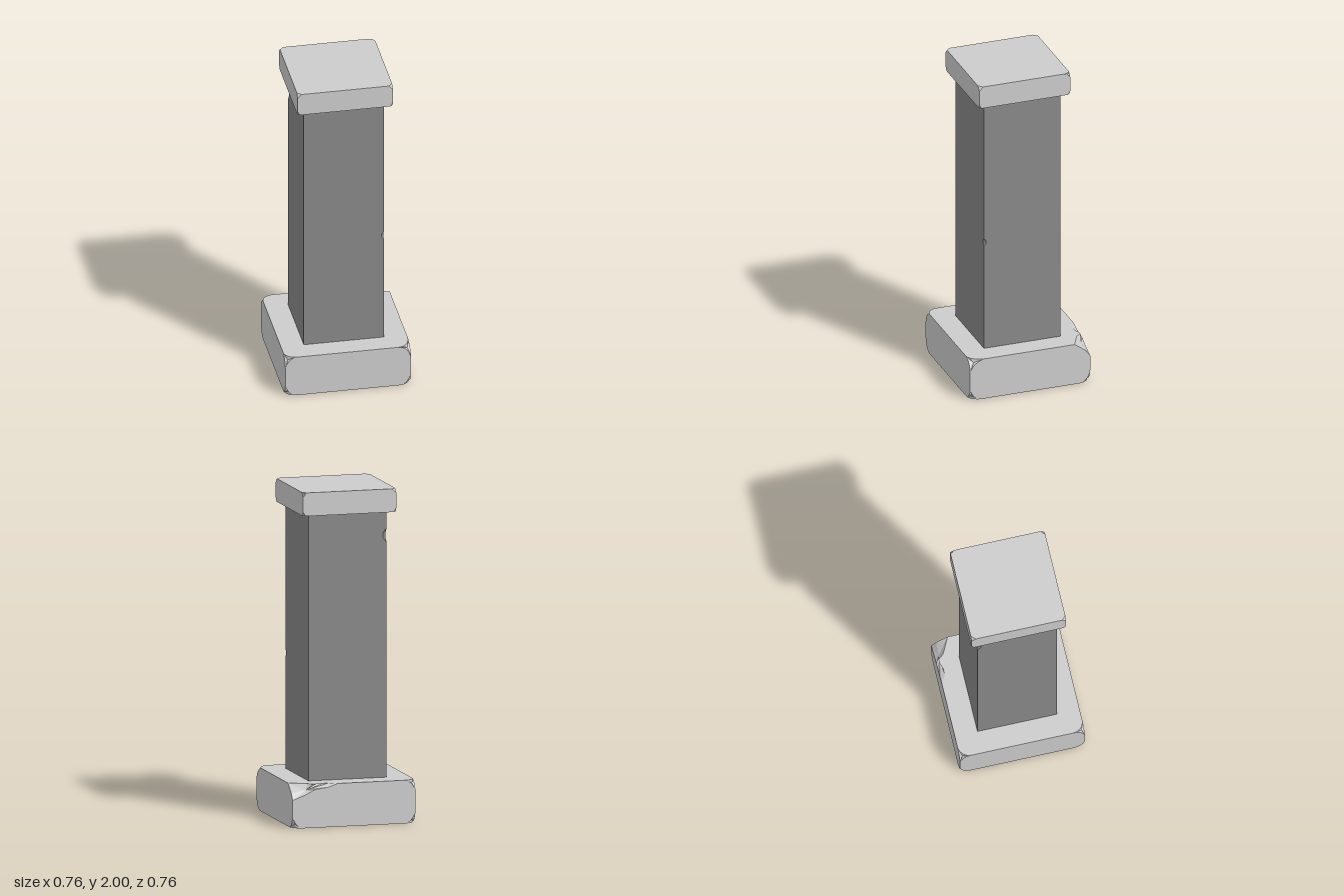
import * as THREE from 'three';

const stone = new THREE.MeshStandardMaterial({ color: 0xcccccc, flatShading: true });
const darkStone = new THREE.MeshStandardMaterial({ color: 0x888888, flatShading: true });

function meshFrom(name, positions, material) {
  const geometry = new THREE.BufferGeometry();
  geometry.setAttribute('position', new THREE.Float32BufferAttribute(positions, 3));
  geometry.computeVertexNormals();
  const mesh = new THREE.Mesh(geometry, material);
  mesh.name = name;
  return mesh;
}

// Adds a triangle, wound so that it faces the direction "out"
function addTriangle(positions, a, b, c, out) {
  const normal = b.clone().sub(a).cross(c.clone().sub(a));
  const order = normal.dot(out) < 0 ? [a, c, b] : [a, b, c];
  for (const p of order) positions.push(p.x, p.y, p.z);
}

// Rounded outline left on face k where a corner is worn away by cut = [x, y, z]
function wornPath(cut, k, steps) {
  const i = (k + 1) % 3, j = (k + 2) % 3, path = [];
  for (let n = 0; n <= steps; n++) {
    const angle = (n / steps) * Math.PI / 2;
    path.push([cut[i] * (1 - Math.sin(angle)), cut[j] * (1 - Math.cos(angle))]);
  }
  return path;
}

// Box with worn corners: cornerFor(signs) gives { cut, steps } or { paths, middle },
// all measured inwards from the sharp corner
function wornBlock(name, half, centreY, cornerFor) {
  const positions = [];
  const corners = {};
  const key = (s) => s.join();
  for (const x of [-1, 1]) for (const y of [-1, 1]) for (const z of [-1, 1]) {
    const s = [x, y, z];
    const spec = cornerFor(s);
    const place = (offset) => new THREE.Vector3(...s.map((sign, a) =>
      sign * (half[a] - offset[a]) + (a === 1 ? centreY : 0)));
    const arcs = [0, 1, 2].map((k) =>
      (spec.paths ? spec.paths[k] : wornPath(spec.cut, k, spec.steps)).map(([u, v]) => {
        const offset = [0, 0, 0];
        offset[(k + 1) % 3] = u;
        offset[(k + 2) % 3] = v;
        return place(offset);
      }));
    corners[key(s)] = arcs;

    // Broken surface, fanned around its middle
    const loop = arcs.flatMap((arc) => arc.slice(0, -1));
    const middle = spec.middle ? place(spec.middle)
      : loop.reduce((sum, p) => sum.add(p), new THREE.Vector3()).divideScalar(loop.length);
    const out = new THREE.Vector3(...s);
    loop.forEach((p, n) => addTriangle(positions, middle, p, loop[(n + 1) % loop.length], out));
  }

  // Six flat faces between the worn corners
  for (let k = 0; k < 3; k++) for (const side of [-1, 1]) {
    const i = (k + 1) % 3, j = (k + 2) % 3;
    const outline = [];
    for (const [u, v] of [[1, 1], [-1, 1], [-1, -1], [1, -1]]) {
      const s = [0, 0, 0];
      s[k] = side; s[i] = u; s[j] = v;
      const arc = corners[key(s)][k];
      outline.push(...(u * v > 0 ? [...arc].reverse() : arc));
    }
    const flat = outline.map((p) => new THREE.Vector2(p.getComponent(i), p.getComponent(j)));
    const out = new THREE.Vector3().setComponent(k, side);
    for (const [a, b, c] of THREE.ShapeUtils.triangulateShape(flat, []))
      addTriangle(positions, outline[a], outline[b], outline[c], out);
  }
  return meshFrom(name, positions, stone);
}

// Large break in the base at the back left top corner
const bigBreak = {
  paths: [
    [[0.09, 0], [0.05, 0.03], [0.02, 0.07], [0, 0.1]],
    [[0.1, 0], [0.065, 0.07], [0.05, 0.1], [0.015, 0.13], [0.015, 0.15], [0.03, 0.19], [0.03, 0.23], [0, 0.28]],
    [[0.28, 0], [0.22, 0.02], [0.14, 0.03], [0.08, 0.06], [0, 0.09]],
  ],
  middle: [0.09, 0.035, 0.025],
};

function baseCorner([x, y, z]) {
  if (x > 0 && y > 0 && z < 0) return bigBreak;
  if (x > 0 && y > 0) return { cut: [0.075, 0.09, 0.11], steps: 6 };
  return { cut: [0.07, 0.09, 0.07], steps: 6 };
}

function capCorner([x, y, z]) {
  if (x > 0 && y > 0 && z < 0) return { cut: [0.035, 0.04, 0.045], steps: 3 };
  return y > 0 ? { cut: [0.025, 0.025, 0.025], steps: 1 } : { cut: [0.015, 0.025, 0.015], steps: 1 };
}

// Square shaft from cross-sections, with a nick in two opposite edges
function shaft() {
  const h = 0.242;
  const sections = [ // height, front left nick, back right nick
    [0.26, 0, 0], [0.93, 0, 0], [0.945, 0.014, 0], [0.965, 0.014, 0], [0.98, 0, 0],
    [1.67, 0, 0], [1.7, 0, 0.022], [1.73, 0, 0.022], [1.76, 0, 0], [1.86, 0, 0],
  ];
  const rings = sections.map(([y, a, b]) => [
    [h, h - a], [h, -h], [-h + b, -h], [-h, -h + b], [-h, h], [h - a, h],
  ].map(([x, z]) => new THREE.Vector3(x, y, z)));
  const positions = [];
  for (let r = 0; r < rings.length - 1; r++) for (let n = 0; n < 6; n++) {
    const m = (n + 1) % 6;
    const [a, b, c, d] = [rings[r][n], rings[r][m], rings[r + 1][m], rings[r + 1][n]];
    const out = a.clone().add(b).add(c).add(d).setY(0);
    addTriangle(positions, a, b, c, out);
    addTriangle(positions, a, c, d, out);
  }
  return meshFrom('shaft', positions, darkStone);
}

export function createModel() {
  const pillar = new THREE.Group();
  pillar.name = 'pillar';
  pillar.add(
    wornBlock('base', [0.38, 0.13, 0.38], 0.13, baseCorner),
    shaft(),
    wornBlock('cap', [0.288, 0.07, 0.288], 1.93, capCorner),
  );
  return pillar;
}
